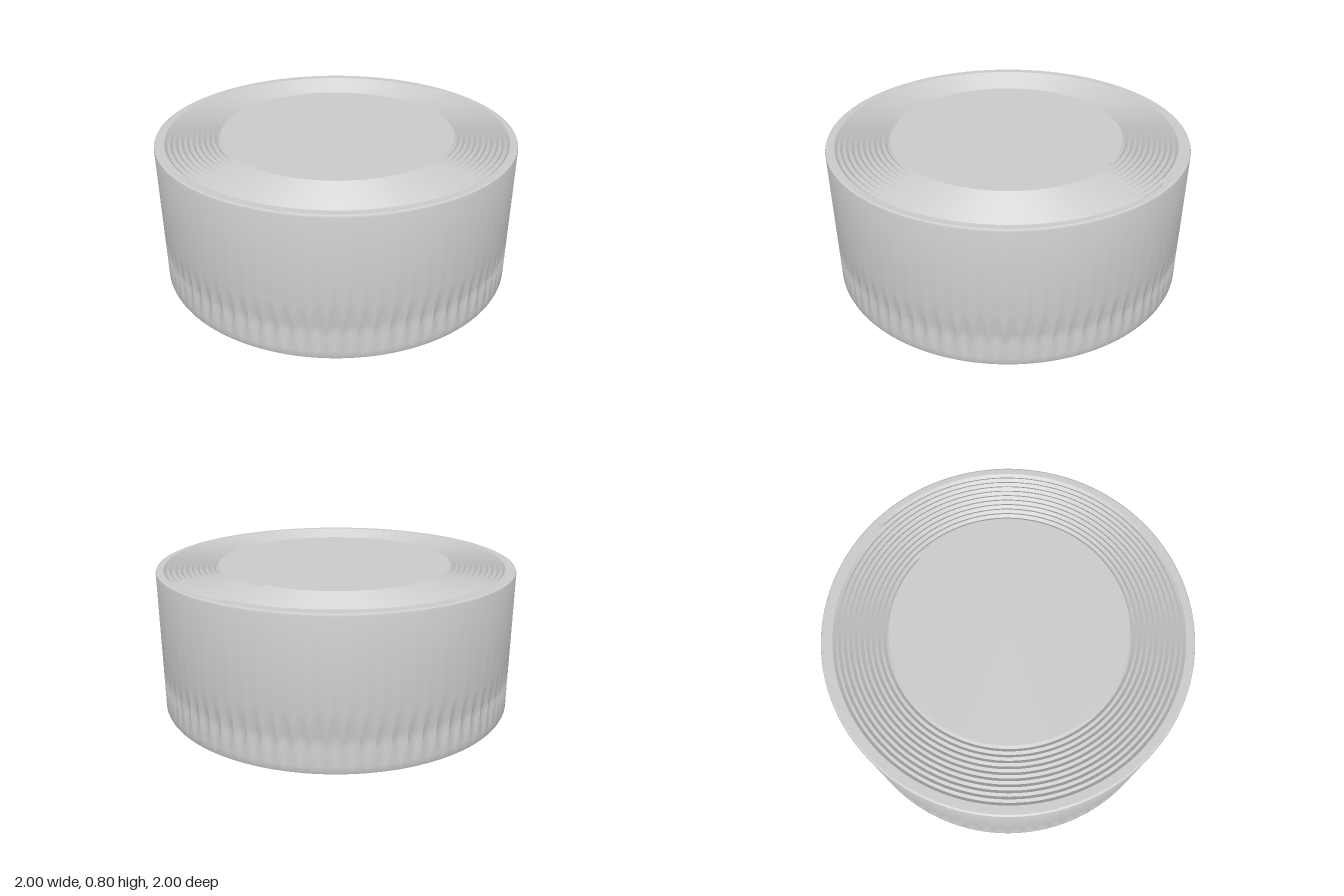
import * as THREE from 'three';
import { toCreasedNormals } from 'three/addons/utils/BufferGeometryUtils.js';

const material = new THREE.MeshStandardMaterial({ color: 0xcccccc });
const HEIGHT = 0.8, TAU = Math.PI * 2;

// Surface swept round the y axis: point(angle, j) returns [radius, y]
function sweep(segments, rows, point, crease) {
  const pos = [], index = [];
  for (let i = 0; i <= segments; i++) {
    const a = (i / segments) * TAU;
    for (let j = 0; j < rows; j++) {
      const [r, y] = point(a, j, i);
      pos.push(r * Math.cos(a), y, -r * Math.sin(a));
      if (i < segments && j < rows - 1) {
        const p = i * rows + j, q = p + rows;
        index.push(p, q, q + 1, p, q + 1, p + 1);
      }
    }
  }
  const g = new THREE.BufferGeometry();
  g.setAttribute('position', new THREE.Float32BufferAttribute(pos, 3));
  g.setIndex(index);
  return toCreasedNormals(g, crease);
}

// Outer wall with a band of tapered flutes near the bottom
function wallGeometry() {
  const flutes = 80, perFlute = 6, depth = 0.014;
  const low = 0.02, mid = 0.17, high = 0.32;
  const profile = [[0.985, 0], [0.996, 0.004], [1, 0.015]];
  for (let k = 1; k <= 12; k++) profile.push([1, low + (high - low) * k / 12]);
  profile.push([1, HEIGHT - 0.012], [0.997, HEIGHT - 0.004], [0.988, HEIGHT]);
  return sweep(flutes * perFlute, profile.length, (a, j, i) => {
    const [r, y] = profile[j];
    const taper = Math.max(0, 1 - Math.abs(y - mid) / (mid - low));
    const s = ((i % perFlute) / perFlute) * 2 - 1;
    return [r - depth * Math.max(0, taper - s * s), y];
  }, 0.5);
}

// Top ring with a V-shaped groove spiralling outwards
const DISC_RADIUS = 0.62;
function spiralGeometry() {
  const turns = 10, steps = 4, inner = 0.635, depth = 0.014, segments = 192;
  const pitch = (0.962 - inner) / (turns + 1);
  const n = turns * steps;
  return sweep(segments, n + 3, (a, j, i) => {
    if (j === 0) return [0.988, HEIGHT];
    if (j === n + 2) return [DISC_RADIUS, HEIGHT];
    const k = n + 1 - j;
    // the groove closes at its first and last cross-section
    const closed = (i === 0 && k < steps) || (i === segments && k > n - steps);
    const cut = closed ? 0 : [0, 0.5, 1, 0.5][k % steps] * depth;
    return [inner + pitch * (k / steps + a / TAU), HEIGHT - cut];
  }, 0.5);
}

// Hollow underside: bored stem, ceiling, inner wall and bottom rim
function undersideGeometry() {
  const profile = [
    [0, 0.5], [0.058, 0.5], [0.058, 0], [0.216, 0],
    [0.216, 0.69], [0.896, 0.69], [0.896, 0], [0.985, 0],
  ].map(([x, y]) => new THREE.Vector2(x, y));
  return toCreasedNormals(new THREE.LatheGeometry(profile, 120), 0.5);
}

export function createModel() {
  const knob = new THREE.Group();
  knob.name = 'knob';
  const add = (name, geometry) => {
    const mesh = new THREE.Mesh(geometry, material);
    mesh.name = name;
    knob.add(mesh);
    return mesh;
  };
  add('flutedWall', wallGeometry());
  add('spiralGrooveRing', spiralGeometry());
  const disc = add('topDisc', new THREE.CircleGeometry(DISC_RADIUS, 192));
  disc.rotation.x = -Math.PI / 2;
  disc.position.y = HEIGHT;
  add('undersideAndStem', undersideGeometry());
  return knob;
}
